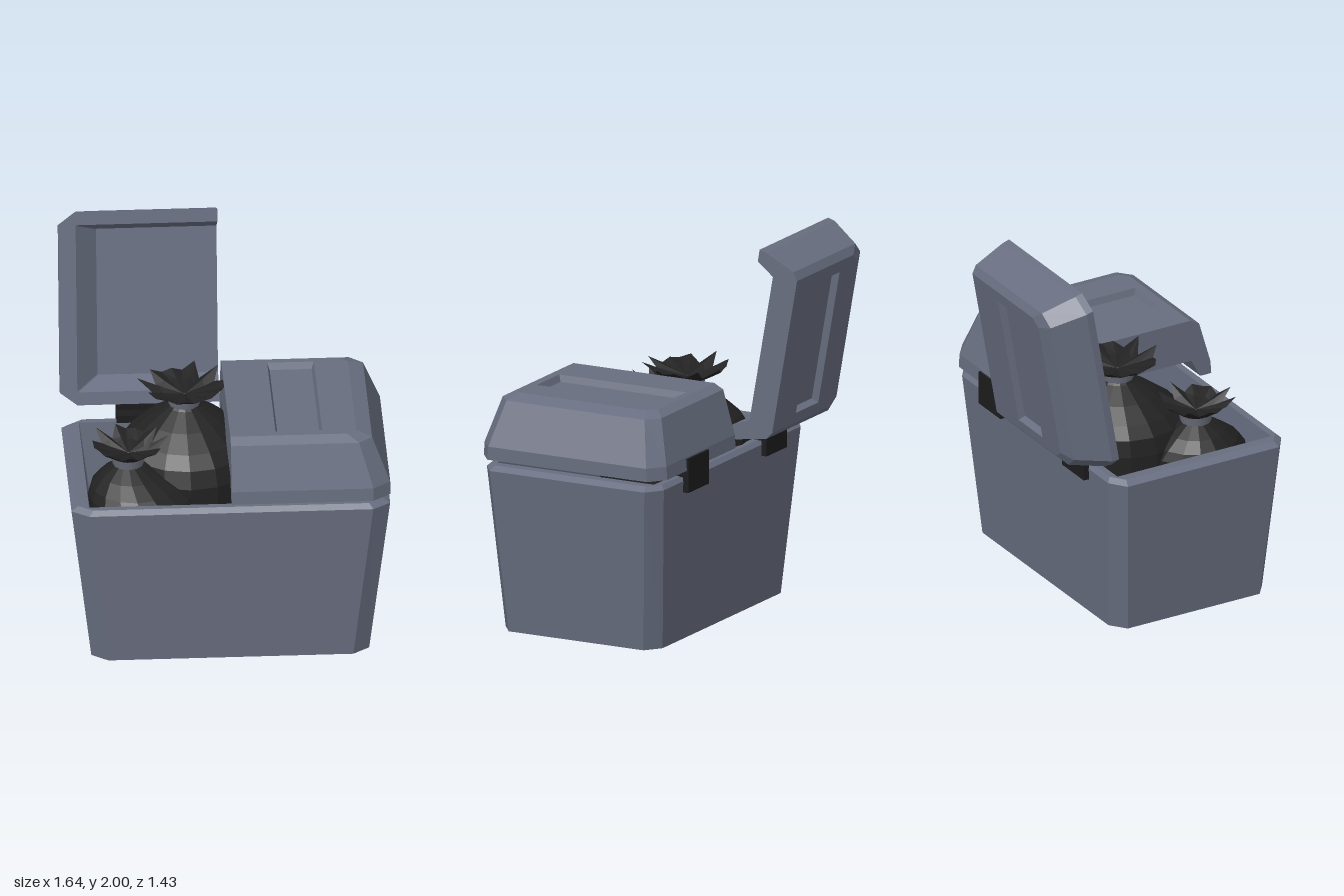
import * as THREE from 'three';

const plastic = new THREE.MeshStandardMaterial({ color: 0x686e80, flatShading: true, side: THREE.DoubleSide });
plastic.name = 'slate plastic';
const bagBlack = new THREE.MeshStandardMaterial({ color: 0x222222, flatShading: true, side: THREE.DoubleSide });
bagBlack.name = 'bag black';
const tieGrey = new THREE.MeshStandardMaterial({ color: 0x6c707c });
tieGrey.name = 'tie grey';
const hingeBlack = new THREE.MeshStandardMaterial({ color: 0x1c1c1e });
hingeBlack.name = 'hinge black';

function add(parent, name, geometry, material) {
  const mesh = new THREE.Mesh(geometry, material);
  mesh.name = name;
  parent.add(mesh);
  return mesh;
}

// Skin a list of equal-length rings with quads
function loft(rings, closed, flip = false) {
  const pos = [];
  const tri = (a, b, c) => pos.push(...a, ...(flip ? c : b), ...(flip ? b : c));
  for (let i = 0; i + 1 < rings.length; i++) {
    const p = rings[i], q = rings[i + 1], n = p.length;
    for (let k = 0; k < (closed ? n : n - 1); k++) {
      const m = (k + 1) % n;
      tri(p[k], q[m], p[m]);
      tri(p[k], q[k], q[m]);
    }
  }
  const g = new THREE.BufferGeometry();
  g.setAttribute('position', new THREE.Float32BufferAttribute(pos, 3));
  g.computeVertexNormals();
  return g;
}

// Rectangle with cut corners, running back, right, front, left
function cutRect(y, x0, x1, z0, z1, cx, cz) {
  return [[x0 + cx, y, z0], [x1 - cx, y, z0], [x1, y, z0 + cz], [x1, y, z1 - cz],
    [x1 - cx, y, z1], [x0 + cx, y, z1], [x0, y, z1 - cz], [x0, y, z0 + cz]];
}

// Half of a cut rectangle, open at x = 0; s mirrors it
function halfRing(s, y, x, z0, z1, cx, cz) {
  return [[0, y, z0], [s * (x - cx), y, z0], [s * x, y, z0 + cz],
    [s * x, y, z1 - cz], [s * (x - cx), y, z1], [0, y, z1]];
}

// Half lid with its hinge edge at local z = 0 and its front at z = len
function makeLid(name, s, len, h, shoulderIn, topIn, lip) {
  const lid = new THREE.Group();
  lid.name = name;
  const e = 0.004;
  const rings = [
    halfRing(s, 0.1, 0.002, len / 2, len / 2, 0, 0),
    halfRing(s, 0.1, 0.62, 0.13, len - 0.12, e, e),
    halfRing(s, 0, 0.73, 0.07, len - 0.065, e, e),
    halfRing(s, 0, 0.82, 0, len, 0.09, 0.07),
    halfRing(s, lip, 0.82, 0.005, len - 0.005, 0.09, 0.07),
    halfRing(s, h - 0.028, 0.73, shoulderIn, len - shoulderIn, 0.07, 0.06),
    halfRing(s, h, 0.65, topIn, len - topIn, 0.05, 0.04),
  ];
  add(lid, name + 'Shell', loft(rings, false, s < 0), plastic);

  // Top face with a hole for the grip recess
  const x0 = 0.235, x1 = 0.475, z0 = len * 0.15, z1 = len * 0.842;
  const top = new THREE.Shape(rings[6].map(([x, , z]) => new THREE.Vector2(x, -z)));
  top.holes.push(new THREE.Path([[x0, z0], [x1, z0], [x1, z1], [x0, z1]]
    .map(([x, z]) => new THREE.Vector2(s * x, -z))));
  const topFace = new THREE.ShapeGeometry(top).rotateX(-Math.PI / 2).translate(0, h, 0);
  add(lid, name + 'Top', topFace, plastic);

  const xm = s * (x0 + x1) / 2, zm = (z0 + z1) / 2, w = (x1 - x0) / 2, d = (z1 - z0) / 2;
  const rect = (y, a, b) => [[xm - a, y, zm - b], [xm + a, y, zm - b], [xm + a, y, zm + b], [xm - a, y, zm + b]];
  add(lid, name + 'Recess',
    loft([rect(h, w, d), rect(h - 0.035, w - 0.012, d - 0.015), rect(h - 0.035, 0.001, 0.001)], true), plastic);

  // Cut face along the middle
  const cut = rings.slice(1);
  const outline = [...cut.map(r => r[0]), ...cut.map(r => r[5]).reverse()];
  const side = new THREE.Shape(outline.map(([, y, z]) => new THREE.Vector2(s * z, y)));
  add(lid, name + 'MiddleFace', new THREE.ShapeGeometry(side).rotateY(-s * Math.PI / 2), plastic);
  return lid;
}

// Tied sack: leaning lathe body, tie and pleated crown
function makeBag(name, x, z, radius, neckY, leanX, leanZ, crownR, seed) {
  const bag = new THREE.Group();
  bag.name = name;
  bag.position.set(x, 0, z);
  const R = radius;
  const profile = [[0, 0.06], [R * 0.6, 0.06], [R * 0.85, neckY * 0.25], [R * 0.98, neckY * 0.5],
    [R, neckY - R * 0.85], [R * 0.94, neckY - R * 0.6], [R * 0.8, neckY - R * 0.42],
    [R * 0.55, neckY - R * 0.22], [R * 0.25, neckY - 0.01], [0.07, neckY + 0.01]];
  const body = new THREE.LatheGeometry(profile.map(p => new THREE.Vector2(...p)), 16);
  const p = body.attributes.position;
  for (let i = 0; i < p.count; i++) {
    const t = THREE.MathUtils.smoothstep(p.getY(i), neckY - R, neckY);
    p.setX(i, p.getX(i) + leanX * t);
    p.setZ(i, p.getZ(i) + leanZ * t);
  }
  body.computeVertexNormals();
  add(bag, name + 'Body', body, bagBlack);

  const tie = add(bag, name + 'Tie', new THREE.CylinderGeometry(0.09, 0.08, 0.05, 12), tieGrey);
  tie.position.set(leanX, neckY + 0.015, leanZ);

  const n = 22;
  const ring = (r, y, wave, lift) => Array.from({ length: n }, (_, k) => {
    const a = -Math.PI / 2 + k / n * Math.PI * 2;
    const odd = k % 2 ? 1 : -1;
    const ragged = Math.sin(k * 2.3 + seed);
    const rr = r * (1 + wave * (odd * 0.1 + ragged * 0.13));
    return [Math.cos(a) * rr, y + lift * (odd * 0.6 + ragged * 0.5), Math.sin(a) * rr];
  });
  const crown = add(bag, name + 'Crown', loft([ring(0.085, 0.035, 0, 0), ring(crownR * 0.7, 0.065, 0.5, 0.012),
    ring(crownR, 0.1, 1, 0.028), ring(crownR * 0.6, 0.075, 0.5, 0.012), ring(0.004, 0.05, 0, 0)], true), bagBlack);
  crown.position.set(leanX, neckY, leanZ);
  return bag;
}

export function createModel() {
  const model = new THREE.Group();
  model.name = 'dumpster';

  // Tapered container with a bevelled rim and hollow inside
  const e = 0.004, zc = 0.175;
  add(model, 'container', loft([
    cutRect(0, -0.001, 0.001, zc, zc, 0, 0),
    cutRect(0, -0.715, 0.715, -0.28, 0.64, 0.085, 0.065),
    cutRect(0.87, -0.82, 0.82, -0.342, 0.695, 0.09, 0.065),
    cutRect(0.893, -0.785, 0.785, -0.32, 0.67, 0.075, 0.055),
    cutRect(0.893, -0.73, 0.73, -0.285, 0.635, e, e),
    cutRect(0.06, -0.62, 0.62, -0.22, 0.57, e, e),
    cutRect(0.06, -0.001, 0.001, zc, zc, 0, 0),
  ], true), plastic);

  // Closed lid on the left half
  const closed = makeLid('closedLid', 1, 1.075, 0.33, 0.073, 0.125, 0.07);
  closed.position.set(0, 0.928, -0.362);
  model.add(closed);

  // Open lid on the right half, swung back
  const open = makeLid('openLid', -1, 1.04, 0.24, 0.06, 0.1, 0.04);
  open.position.set(-0.004, 0.975, -0.32);
  open.rotation.x = -THREE.MathUtils.degToRad(100);
  model.add(open);

  // Hinges at the back
  for (const x of [0.41, -0.425]) {
    const hinge = new THREE.Group();
    hinge.name = x > 0 ? 'leftHinge' : 'rightHinge';
    add(hinge, 'hingePlate', new THREE.BoxGeometry(0.22, 0.18, 0.03), hingeBlack).position.set(x, 0.9, -0.355);
    add(hinge, 'hingeLink', new THREE.BoxGeometry(0.22, 0.04, 0.07), hingeBlack).position.set(x, 0.91, -0.31);
    model.add(hinge);
  }

  model.add(makeBag('largeBag', -0.19, 0.06, 0.36, 1.165, -0.015, -0.03, 0.2, 0.4));
  model.add(makeBag('smallBag', -0.42, 0.345, 0.285, 0.985, -0.09, -0.03, 0.175, 2.1));
  return model;
}
